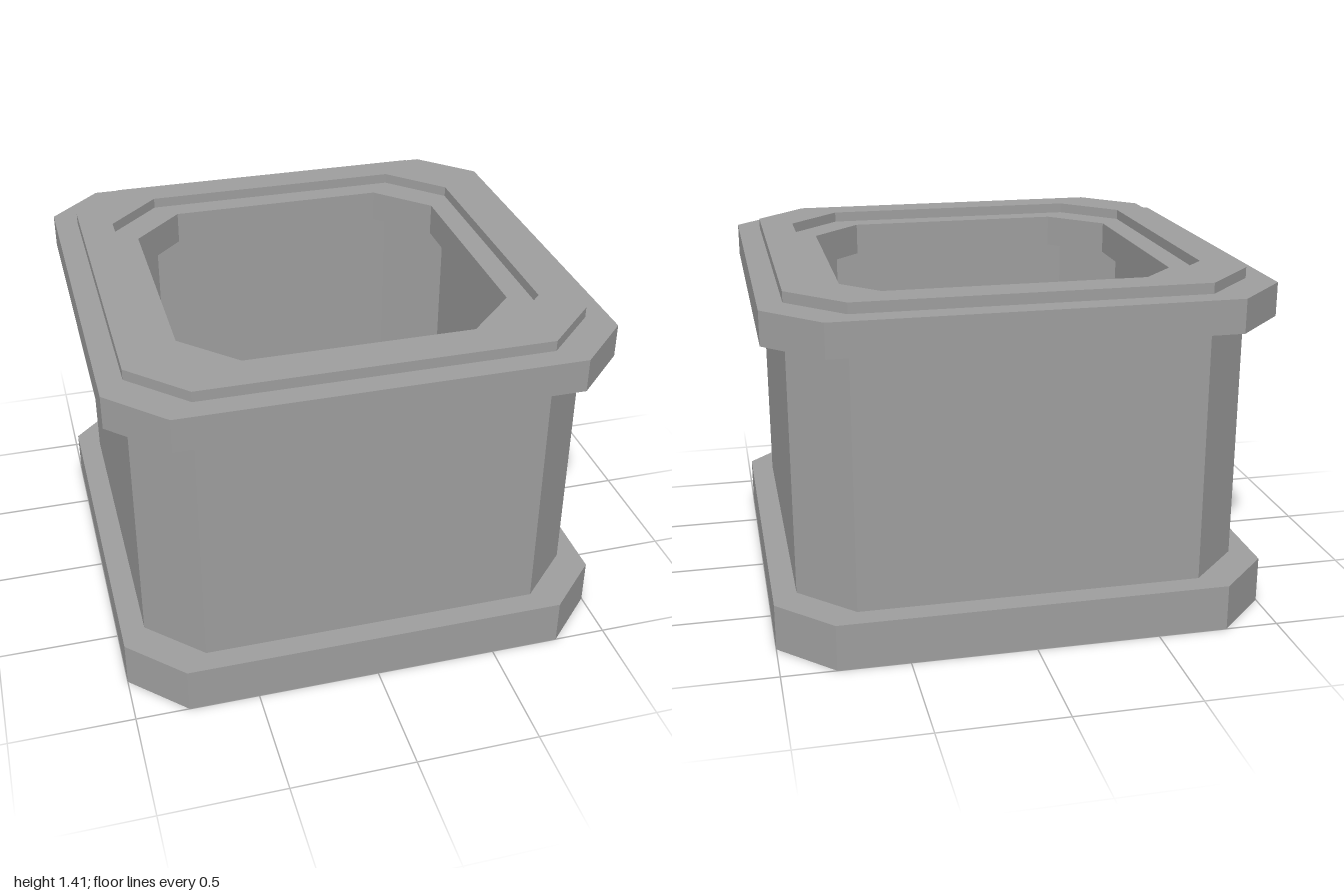
import * as THREE from 'three';

const material = new THREE.MeshStandardMaterial({ color: 0x9e9e9e, flatShading: true });

// Corners of a square with cut corners: h = half width, f = half length of each flat side
function octagon(h, f) {
  return [[h, -f], [h, f], [f, h], [-f, h], [-h, f], [-h, -f], [-f, -h], [f, -h]]
    .map(([x, y]) => new THREE.Vector2(x, y));
}

// Hollow ring with cut corners, standing from y0 to y1
function ring(name, outer, inner, y0, y1) {
  const shape = new THREE.Shape(octagon(...outer));
  shape.holes.push(new THREE.Path(octagon(...inner).reverse()));
  const geometry = new THREE.ExtrudeGeometry(shape, { depth: y1 - y0, bevelEnabled: false });
  geometry.rotateX(-Math.PI / 2).translate(0, y0, 0);
  const mesh = new THREE.Mesh(geometry, material);
  mesh.name = name;
  return mesh;
}

export function createModel() {
  const group = new THREE.Group();
  group.name = 'hollowPlinth';

  const flange = [1, 0.785], wall = [0.905, 0.691];
  const cavity = [0.766, 0.548], opening = [0.67, 0.46];

  group.add(
    ring('baseFlange', flange, opening, 0, 0.19),
    ring('bodyWall', wall, cavity, 0.19, 1.235),
    ring('topFlange', flange, opening, 1.235, 1.37),
    ring('topRim', wall, cavity, 1.37, 1.413),
  );
  return group;
}
